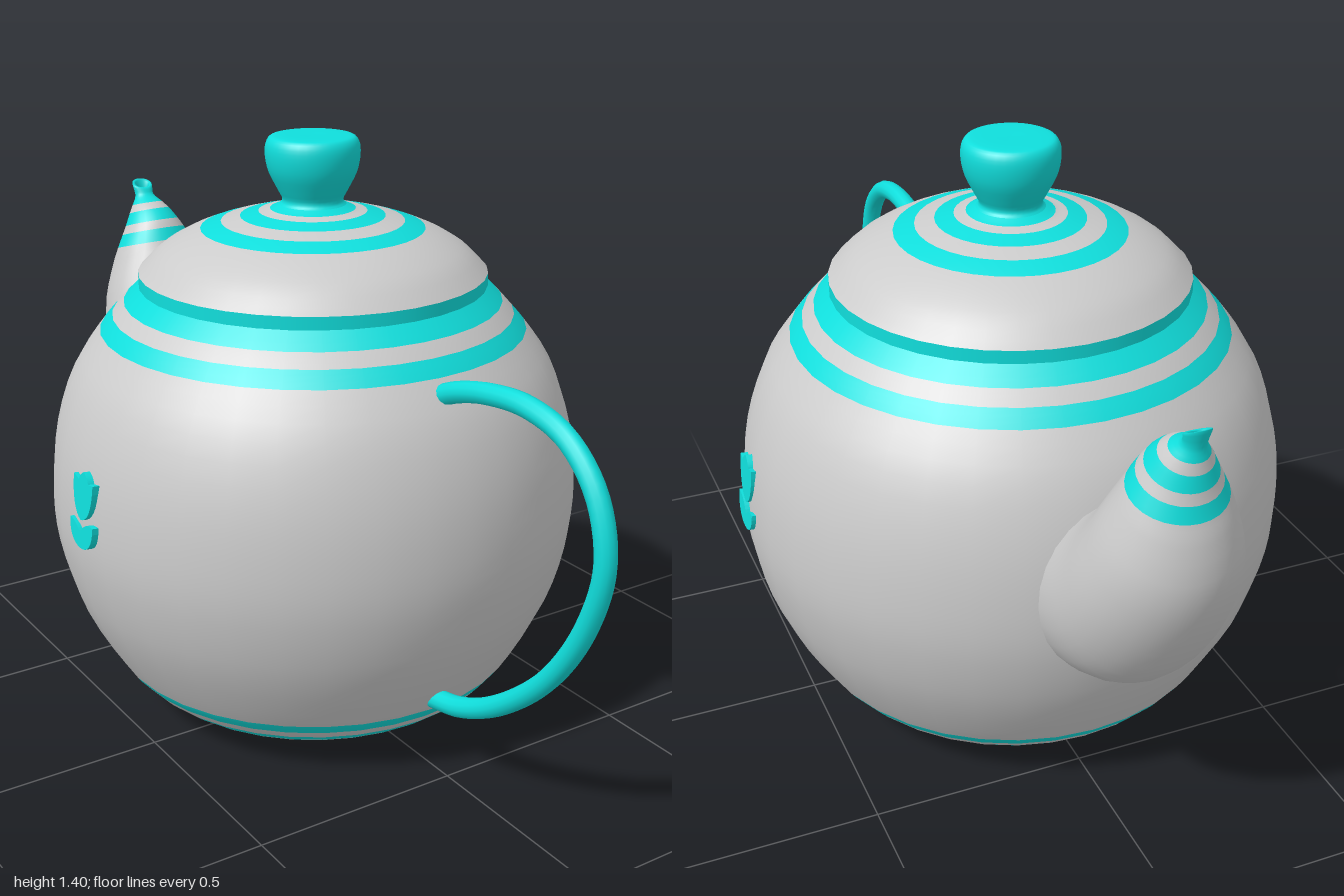
import * as THREE from 'three';

const GREY = new THREE.MeshStandardMaterial({ color: 0xcccccc });
const TEAL = new THREE.MeshStandardMaterial({ color: 0x10dedc });
const AXIS_Z = -0.07; // the pot sits a little behind centre

// Skin closed rings of points; each letter of `bands` colours `steps` rows (g grey, t teal)
function loft(name, rings, bands, steps) {
  const sides = rings[0].length;
  const geometry = new THREE.BufferGeometry().setFromPoints(rings.flat());
  const index = [];
  for (let r = 0; r < rings.length - 1; r++) {
    for (let s = 0; s < sides; s++) {
      const a = r * sides + s, b = r * sides + (s + 1) % sides;
      index.push(a, a + sides, b, b, a + sides, b + sides);
    }
  }
  geometry.setIndex(index);
  geometry.computeVertexNormals();
  const size = steps * sides * 6;
  [...bands].forEach((c, i) => geometry.addGroup(i * size, size, c === 't' ? 1 : 0));
  const mesh = new THREE.Mesh(geometry, [GREY, TEAL]);
  mesh.name = name;
  return mesh;
}

const smooth = (points, steps) =>
  new THREE.CatmullRomCurve3(points).getPoints((points.length - 1) * steps);

// Turned part from [radius, y] points, one band letter per span
function turned(name, profile, bands, steps = 3, sides = 36) {
  const rings = smooth(profile.map(([r, y]) => new THREE.Vector3(r, y, 0)), steps).map(p =>
    Array.from({ length: sides }, (_, i) => {
      const a = (i / sides) * Math.PI * 2;
      return new THREE.Vector3(Math.max(p.x, 0) * Math.cos(a), p.y, Math.max(p.x, 0) * Math.sin(a));
    }));
  const mesh = loft(name, rings, bands, steps);
  mesh.position.z = AXIS_Z;
  return mesh;
}

// Spout from elliptical sections: upper z, y, lower z, y, half width
function makeSpout() {
  const steps = 3, sides = 28;
  const sections = [
    [-0.56, 0.75, -0.57, 0.38, 0.175],
    [-0.65, 0.81, -0.69, 0.40, 0.187],
    [-0.69, 0.845, -0.83, 0.475, 0.186],
    [-0.725, 0.885, -0.94, 0.62, 0.175],
    [-0.755, 0.935, -1.0, 0.78, 0.15],
    [-0.785, 0.985, -0.993, 0.905, 0.117],
    [-0.797, 1.005, -0.982, 0.95, 0.103],
    [-0.815, 1.035, -0.975, 0.985, 0.086],
    [-0.83, 1.055, -0.971, 1.01, 0.073],
    [-0.86, 1.08, -0.967, 1.045, 0.055],
    [-0.885, 1.093, -0.964, 1.07, 0.041],
    [-0.92, 1.108, -0.962, 1.1, 0.025],
    [-0.93, 1.122, -0.973, 1.142, 0.028],
    [-0.937, 1.123, -0.967, 1.138, 0.019],
    [-0.93, 1.09, -0.955, 1.08, 0.014],
  ];
  const upper = smooth(sections.map(s => new THREE.Vector3(s[4], s[1], s[0])), steps);
  const lower = smooth(sections.map(s => new THREE.Vector3(s[4], s[3], s[2])), steps);
  const rings = upper.map((u, k) => {
    const l = lower[k];
    return Array.from({ length: sides }, (_, i) => {
      const a = (i / sides) * Math.PI * 2, f = 0.5 + 0.5 * Math.sin(a);
      return new THREE.Vector3(u.x * Math.cos(a), l.y + (u.y - l.y) * f, l.z + (u.z - l.z) * f);
    });
  });
  return loft('spout', rings, 'ggggggtgtgtttt', steps);
}

// Raised tulip: a three-pointed bloom above a pair of leaves
function makeTulip() {
  const bloom = new THREE.Shape();
  bloom.moveTo(0.005, -0.028);
  bloom.bezierCurveTo(-0.03, -0.02, -0.048, 0.01, -0.05, 0.07);
  bloom.lineTo(-0.028, 0.067);
  bloom.quadraticCurveTo(-0.02, 0.082, -0.004, 0.089);
  bloom.quadraticCurveTo(0.014, 0.08, 0.02, 0.066);
  bloom.lineTo(0.046, 0.072);
  bloom.bezierCurveTo(0.05, 0.02, 0.035, -0.018, 0.005, -0.028);
  const leaves = new THREE.Shape();
  leaves.moveTo(-0.056, -0.028);
  leaves.bezierCurveTo(-0.058, -0.07, -0.035, -0.094, 0.002, -0.094);
  leaves.bezierCurveTo(0.04, -0.094, 0.06, -0.07, 0.058, -0.036);
  leaves.bezierCurveTo(0.035, -0.036, 0.02, -0.045, 0.006, -0.06);
  leaves.bezierCurveTo(-0.008, -0.035, -0.03, -0.025, -0.056, -0.028);
  const geometry = new THREE.ExtrudeGeometry([bloom, leaves],
    { depth: 0.04, bevelEnabled: false, curveSegments: 8 });
  geometry.translate(0, 0, -0.04).rotateY(Math.PI / 2).rotateZ(0.09);
  geometry.translate(0.638, 0.63, -0.035);
  return new THREE.Mesh(geometry, TEAL);
}

export function createModel() {
  const model = new THREE.Group();
  model.name = 'teapot';

  // Round pot with stripes near the foot and the shoulder
  model.add(turned('body', [
    [0, 0.004], [0.2, 0.004], [0.33, 0.022], [0.4, 0.05], [0.424, 0.065], [0.455, 0.09],
    [0.478, 0.115], [0.502, 0.145], [0.585, 0.3], [0.627, 0.45], [0.635, 0.57], [0.618, 0.72],
    [0.57, 0.86], [0.505, 0.955], [0.475, 0.99], [0.447, 1.02], [0.4, 1.065],
  ], 'tttgtgtggggggtgt'));

  // Lid: rim, striped dome and knob
  const rim = new THREE.Mesh(new THREE.CylinderGeometry(0.411, 0.411, 0.03, 36), TEAL);
  rim.name = 'lidRim';
  rim.position.set(0, 1.072, AXIS_Z);
  model.add(rim);
  model.add(turned('lidDome', [
    [0.411, 1.087], [0.365, 1.132], [0.315, 1.163], [0.263, 1.186], [0.215, 1.202],
    [0.17, 1.214], [0.127, 1.225], [0.1, 1.231], [0.07, 1.245],
  ], 'gggtgtgt'));
  model.add(turned('knob', [
    [0.085, 1.235], [0.071, 1.25], [0.082, 1.275], [0.102, 1.315], [0.11, 1.35],
    [0.109, 1.38], [0.1, 1.396], [0.085, 1.4], [0, 1.4],
  ], 'tttttttt'));

  model.add(makeSpout());

  // Looped handle, given as z, y
  const path = new THREE.CatmullRomCurve3([
    [0.44, 0.918], [0.5, 0.942], [0.6, 0.967], [0.73, 0.976], [0.85, 0.945], [0.94, 0.86],
    [0.976, 0.73], [0.935, 0.575], [0.83, 0.41], [0.67, 0.27], [0.54, 0.203], [0.43, 0.178],
  ].map(([z, y]) => new THREE.Vector3(0, y, z)));
  const handle = new THREE.Mesh(new THREE.TubeGeometry(path, 60, 0.024, 12), TEAL);
  handle.name = 'handle';
  model.add(handle);
  // Closed handle ends
  for (const t of [0, 1]) {
    const cap = new THREE.Mesh(new THREE.CircleGeometry(0.024, 12), TEAL);
    const p = path.getPointAt(t);
    cap.position.copy(p);
    cap.lookAt(p.clone().addScaledVector(path.getTangentAt(t), t ? 1 : -1));
    cap.name = 'handleEnd';
    model.add(cap);
  }

  // Tulip on both sides
  for (const side of [1, -1]) {
    const tulip = makeTulip();
    tulip.name = side > 0 ? 'leftTulip' : 'rightTulip';
    tulip.scale.x = side;
    model.add(tulip);
  }
  return model;
}
